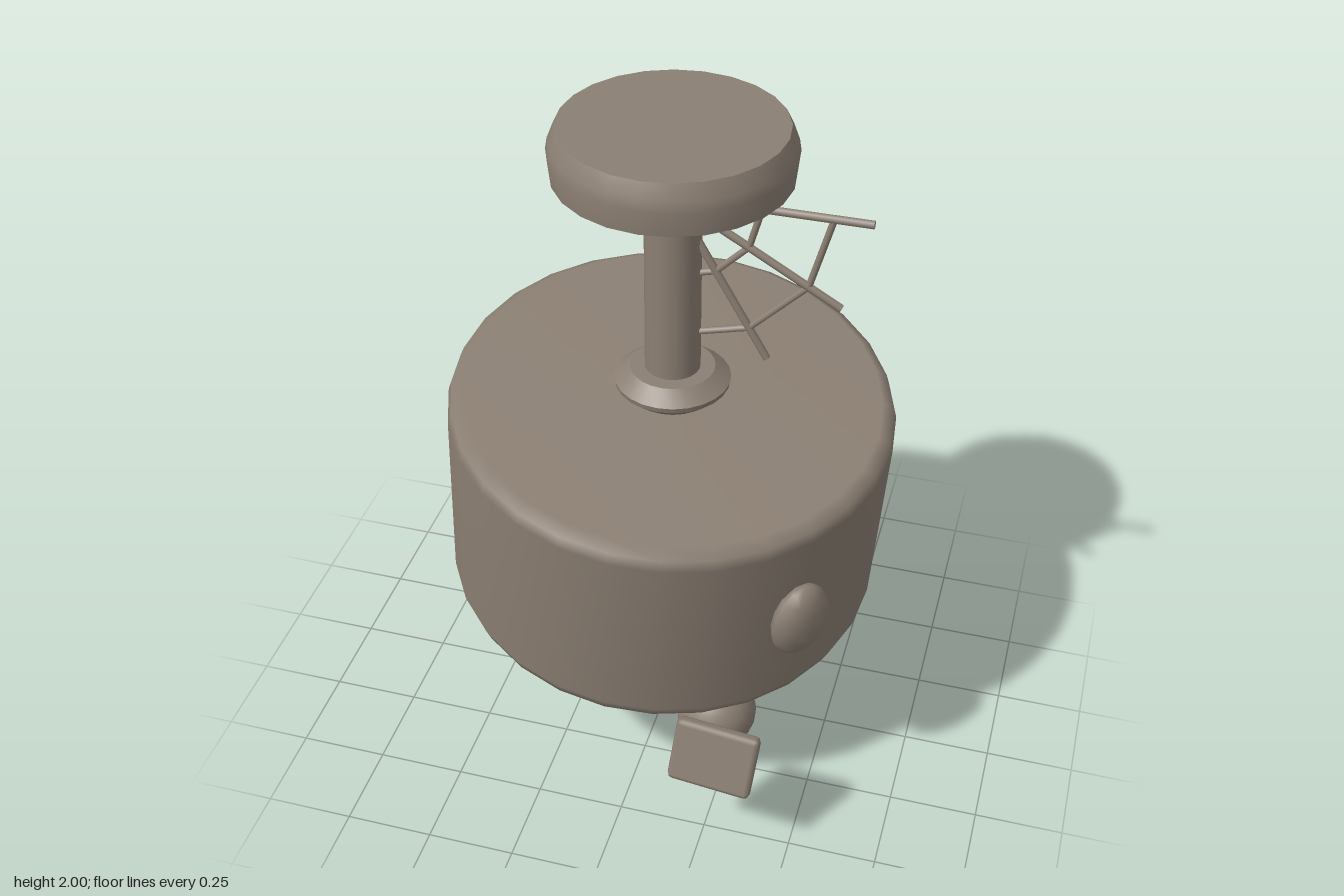
import * as THREE from 'three';
import { toCreasedNormals } from 'three/addons/utils/BufferGeometryUtils.js';
import { RoundedBoxGeometry } from 'three/addons/geometries/RoundedBoxGeometry.js';

export function createModel() {
  const model = new THREE.Group();
  model.name = 'hangingDrumLamp';
  const clay = new THREE.MeshStandardMaterial({ color: 0x8b7f73 });
  clay.name = 'warm grey';

  const add = (name, geometry, x = 0, y = 0, z = 0, parent = model) => {
    const mesh = new THREE.Mesh(geometry, clay);
    mesh.name = name;
    mesh.position.set(x, y, z);
    parent.add(mesh);
    return mesh;
  };
  const lathe = (points, segments) =>
    new THREE.LatheGeometry(points.map(([r, y]) => new THREE.Vector2(r, y)), segments);
  const rod = (name, a, b, radius, parent = model) => {
    const dir = b.clone().sub(a);
    const mesh = add(name, new THREE.CylinderGeometry(radius, radius, dir.length(), 8), 0, 0, 0, parent);
    mesh.position.copy(a).add(b).multiplyScalar(0.5);
    mesh.quaternion.setFromUnitVectors(new THREE.Vector3(0, 1, 0), dir.normalize());
    return mesh;
  };

  // Ceiling mount, stem and collar share one vertical axis
  const ax = 0.027, az = 0.046;
  add('ceilingMount', toCreasedNormals(lathe(
    [[0, 1.835], [0.25, 1.835], [0.31, 1.865], [0.317, 1.93], [0.312, 1.96], [0.293, 2], [0, 2]], 24), 0.6), ax, 0, az);
  add('stem', new THREE.CylinderGeometry(0.075, 0.075, 0.68, 20), ax, 1.52, az);
  add('collar', toCreasedNormals(lathe(
    [[0, 1.195], [0.115, 1.195], [0.155, 1.23], [0.158, 1.245], [0.115, 1.28], [0, 1.28]], 24), 0.5), ax, 0, az);

  // Tilted drum with softened rims
  const drum = new THREE.Group();
  drum.name = 'drum';
  drum.position.set(0.002, 0.855, 0.007);
  drum.rotation.set(0.118, 0, -0.078);
  model.add(drum);
  add('drumShell', lathe(
    [[0.565, -0.335], [0.597, -0.315], [0.612, -0.275], [0.612, 0.295], [0.602, 0.325], [0.57, 0.345], [0, 0.35]], 28), 0, 0, 0, drum);
  const base = add('drumBase', new THREE.CircleGeometry(0.565, 28), 0, -0.335, 0, drum);
  base.rotation.set(Math.PI / 2, 0, Math.PI / 2);

  // Oval knob on the drum wall
  const knob = add('ovalKnob', new THREE.SphereGeometry(1, 12, 8), 0.475, 0.02, 0.407, drum);
  knob.scale.set(0.088, 0.126, 0.054);
  knob.rotation.y = 0.86;

  // Small tag hanging under the front rim
  const tag = add('tag', new RoundedBoxGeometry(0.234, 0.19, 0.042, 1, 0.015), 0.295, 0.384, 0.583);
  tag.rotation.set(-0.28, 0, -0.09);

  // Pull cord with socket and bulb
  rod('cord', new THREE.Vector3(0.195, 0.26, 0.154), new THREE.Vector3(0.163, 0.53, 0.098), 0.009);
  add('socket', new THREE.CylinderGeometry(0.063, 0.063, 0.07, 20), 0.195, 0.24, 0.154);
  add('bulb', new THREE.SphereGeometry(0.119, 24, 16), 0.195, 0.119, 0.154);

  // Corner web: spokes fanning from the stem, joined by two rings of chords
  const web = new THREE.Group();
  web.name = 'web';
  web.position.set(0.025, 1.796, az);
  model.add(web);
  const spoke = (i, r) => {
    const a = -i * Math.PI / 6;
    return new THREE.Vector3(Math.cos(a) * r, Math.sin(a) * r, 0);
  };
  for (let i = 0; i < 3; i++) {
    rod('webSpoke', spoke(i, 0.02), spoke(i, 0.517), 0.011, web);
    for (const r of [0.233, 0.416]) rod('webStrand', spoke(i, r), spoke(i + 1, r), 0.009, web);
  }
  return model;
}
